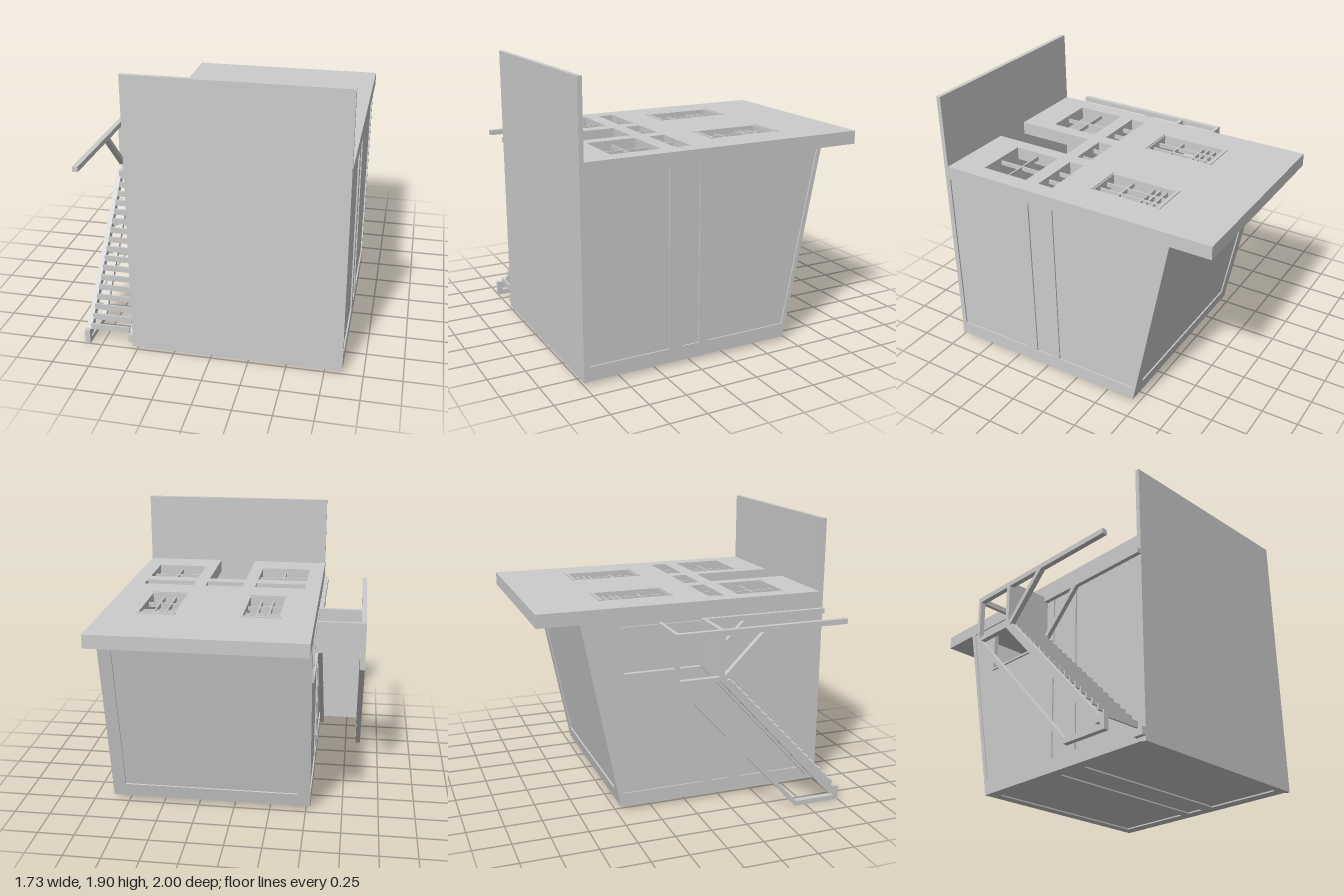
import * as THREE from 'three';

const MAT = new THREE.MeshStandardMaterial({ color: 0xcccccc, flatShading: true, side: THREE.DoubleSide });
const L = -0.53, R = 0.865; // side faces of the house
const BASE = 0.025, SLABY = 1.315, TOPY = 1.405; // wall base, facade underside and face

export function createModel() {
  const house = new THREE.Group();
  house.name = 'house';

  const add = (geo, name, parent = house) => {
    const mesh = new THREE.Mesh(geo, MAT);
    mesh.name = name;
    parent.add(mesh);
    return mesh;
  };
  // Box from its min and max along every axis
  const box = (name, x0, x1, y0, y1, z0, z1, parent) => {
    const geo = new THREE.BoxGeometry(x1 - x0, y1 - y0, z1 - z0);
    geo.translate((x0 + x1) / 2, (y0 + y1) / 2, (z0 + z1) / 2);
    return add(geo, name, parent);
  };
  const pts = (list) => list.map(([a, b]) => new THREE.Vector2(a, b));
  const rect = (a0, a1, b0, b1) => [[a0, b0], [a1, b0], [a1, b1], [a0, b1]];
  const plate = (outline, holes, depth) => {
    const shape = new THREE.Shape(pts(outline));
    holes.forEach((h) => shape.holes.push(new THREE.Path(pts(h))));
    return new THREE.ExtrudeGeometry(shape, { depth, bevelEnabled: false });
  };
  // Plate drawn in (z, y), ending at x = xMax
  const sidePlate = (name, outline, holes, xMax, depth, parent) =>
    add(plate(outline, holes, depth).rotateY(-Math.PI / 2).translate(xMax, 0, 0), name, parent);
  // Plate drawn in (x, z), starting at y = yMin
  const flatPlate = (name, outline, holes, yMin, depth) => {
    const flip = (l) => l.map(([x, z]) => [x, -z]);
    return add(plate(flip(outline), holes.map(flip), depth).rotateX(-Math.PI / 2).translate(0, yMin, 0), name);
  };

  // Ground slab
  box('groundSlab', L, R, 0.02, 1.905, 0.97, 1);

  // Side walls: a framed outer layer over a plain inner layer
  const profile = [[0.97, BASE], [0.97, SLABY], [-0.72, SLABY], [-0.465, BASE]];
  const panels = [
    rect(0.41, 0.965, 0.12, 1.312),
    rect(0.195, 0.32, 0.12, 1.312),
    [[0.13, 0.12], [0.13, 1.312], [-0.7, 1.312], [-0.46, 0.12]],
  ];
  const door = rect(-0.44, 0.1, 0.96, 1.26);
  sidePlate('leftWallFrame', profile, panels, R, 0.01);
  sidePlate('leftWall', profile, [], R - 0.01, 0.02);
  sidePlate('rightWallFrame', profile, panels, L + 0.01, 0.01);
  sidePlate('rightWall', profile, [door], L + 0.03, 0.02);
  // Frame round the side door
  sidePlate('sideDoorFrame', rect(-0.455, 0.1, 0.945, 1.275), [door], L + 0.012, 0.015);

  // Lower wall with its panels
  const lower = rect(L, R, -0.465, 0.97);
  flatPlate('lowerWallFrame', lower,
    [[0.41, 0.94], [0.195, 0.32], [-0.4, 0.13]].map(([a, b]) => rect(L + 0.08, R - 0.08, a, b)), BASE, 0.01);
  flatPlate('lowerWall', lower, [], BASE + 0.01, 0.02);

  // Slanted end wall
  const run = 0.255, rise = SLABY - BASE;
  const slant = new THREE.Group();
  slant.name = 'slantedWall';
  slant.position.set(0, BASE, -0.465);
  slant.rotation.x = -Math.atan2(run, rise);
  house.add(slant);
  const len = Math.hypot(run, rise);
  add(plate(rect(L, R, 0, len), [rect(L + 0.09, R - 0.09, 0.1, len - 0.06)], 0.01), 'slantedWallFrame', slant);
  add(plate(rect(L, R, 0, len), [], 0.02).translate(0, 0, 0.01), 'slantedWallPanel', slant);

  // Windows: outer bounds, then bar positions in x and z
  const windows = [];
  for (const x of [-0.3, 0.39])
    windows.push({ b: [x, x + 0.24, -0.5, -0.04], xs: [x + 0.08, x + 0.16], zs: [-0.44, -0.39, -0.35, -0.19], sill: true });
  for (const x of [-0.42, 0.39]) {
    windows.push({ b: [x, x + 0.36, 0.2, 0.31], xs: [x + 0.12, x + 0.24], zs: [] });
    windows.push({ b: [x, x + 0.36, 0.41, 0.75], xs: [x + 0.18], zs: [0.58] });
  }
  windows.push({ b: [0.03, 0.3, 0.2, 0.31], xs: [0.1, 0.232], zs: [] });

  // Facade with window openings and a doorway down to the ground slab
  const facade = [[L, -1], [R, -1], [R, 0.97], [0.3, 0.97], [0.3, 0.4], [0.03, 0.4], [0.03, 0.97], [L, 0.97]];
  flatPlate('facade', facade, windows.map((w) => rect(...w.b)), SLABY, TOPY - SLABY);

  const t = 0.005; // half width of a window bar
  for (const { b: [x0, x1, z0, z1], xs, zs, sill } of windows) {
    xs.forEach((x) => box('windowBar', x - t, x + t, 1.35, 1.38, z0, z1));
    zs.forEach((z) => box('windowCrossbar', x0, x1, 1.35, 1.38, z - t, z + t));
    if (sill) {
      box('windowLintel', x0 - 0.01, x1 + 0.01, 1.39, 1.412, z0 - 0.028, z0 - 0.01);
      box('windowSill', x0 - 0.01, x1 + 0.01, 1.39, 1.412, z1 + 0.008, z1 + 0.024);
    }
  }

  // Outside staircase
  const stairs = new THREE.Group();
  stairs.name = 'staircase';
  house.add(stairs);
  const X0 = -0.865, X1 = X0 + 0.035, X2 = L - 0.03;
  box('landing', X0, L, 0.96, 1.29, 0.1, 0.13, stairs);
  for (let i = 0; i < 18; i++) {
    const y = 0.096 + i * 0.049, z = 0.962 - i * 0.0465;
    box('tread', X1, X2, y, y + 0.041, z - 0.006, z + 0.006, stairs);
  }
  // Sloping beams drawn in (z, y)
  const beam = (name, a, b, w, xMax, d) =>
    sidePlate(name, [a, b, [b[0] + w, b[1]], [a[0] + w, a[1]]], [], xMax, d, stairs);
  for (const [xMax, d] of [[X1, 0.035], [L, 0.03]]) {
    beam('stringer', [0.93, 0.05], [0.1, 0.96], 0.07, xMax, d);
    beam('knееBrace'.replace(/[^a-zA-Z]/g, 'e'), [0.1, 0.96], [0.4, 1.26], 0.045, xMax, d);
    box('landingPost', xMax - d, xMax, 1.255, 1.29, 0.1, 1, stairs);
  }
  // Handrail and its posts along the outer side
  beam('handrail', [0.67, 0], [-0.2, 0.96], 0.04, X1, 0.035);
  box('newelPost', X0, X1, 0, 0.035, 0.67, 1, stairs);
  box('stringerFoot', X0, X1, 0, 0.1, 0.965, 1, stairs);
  box('stringerFoot', X2, L, 0.05, 0.1, 0.965, 1, stairs);
  box('railPost', X0, X1, 0.955, 0.985, -0.2, 0.1, stairs);
  box('railPost', X0, X1, 1.255, 1.29, -0.2, 0.1, stairs);
  box('landingRail', X0, X1, 0.955, 1.29, -0.2, -0.175, stairs);
  box('landingRail', X0, L, 1.255, 1.29, -0.2, -0.175, stairs);

  return house;
}
